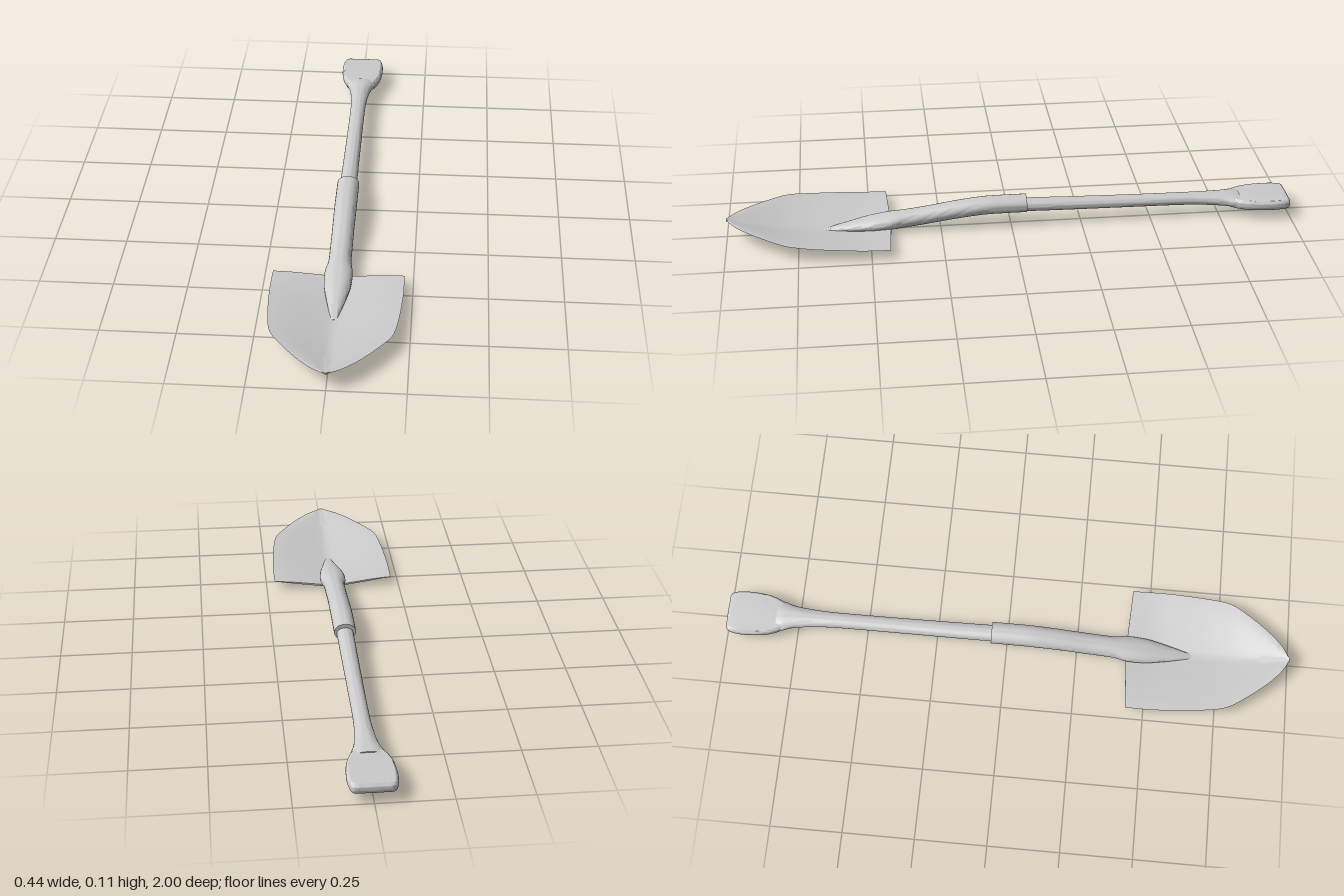
import * as THREE from 'three';
import { toCreasedNormals } from 'three/addons/utils/BufferGeometryUtils.js';

const material = new THREE.MeshStandardMaterial({ color: 0xcccccc, side: THREE.DoubleSide });

// Smoothly resample a short table of sections, column by column
function resample(table, count) {
  const columns = table[0].map((_, k) => new THREE.SplineCurve(table.map(row => new THREE.Vector2(row[k], 0))));
  return Array.from({ length: count + 1 }, (_, i) => columns.map(c => c.getPoint(i / count).x));
}

// Skin closed rings (counter-clockwise seen from +z, ordered by rising z) and cap both ends
function skin(rings, crease) {
  const m = rings[0].length, index = [];
  for (let i = 0; i < rings.length - 1; i++) {
    for (let j = 0; j < m; j++) {
      const a = i * m + j, b = i * m + (j + 1) % m;
      index.push(a, b, a + m, b, b + m, a + m);
    }
  }
  const last = (rings.length - 1) * m;
  for (let j = 0; j < m / 2 - 1; j++) {
    const [a, b, c, d] = [j, j + 1, m - 2 - j, m - 1 - j];
    index.push(a, c, b, a, d, c);
    index.push(last + a, last + b, last + c, last + a, last + c, last + d);
  }
  const geometry = new THREE.BufferGeometry();
  geometry.setAttribute('position', new THREE.Float32BufferAttribute(rings.flat(2), 3));
  geometry.setIndex(index);
  return toCreasedNormals(geometry, crease);
}

// Elliptical rod from sections [z, centre y, half width, half height]
function rod(table, count) {
  const sides = 24;
  return skin(resample(table, count).map(([z, cy, rx, ry]) =>
    Array.from({ length: sides }, (_, j) => {
      const a = (j + 0.5) / sides * Math.PI * 2;
      return [Math.cos(a) * rx, cy + Math.sin(a) * ry, z];
    })), 0.9);
}

// Dished pointed blade from sections [z, half width, spine y, rim y]
function bladeGeometry() {
  const table = [
    [0.435, 0.22, 0.007, 0.034], [0.52, 0.221, 0.001, 0.036], [0.6, 0.218, 0.0005, 0.041],
    [0.7, 0.21, 0.005, 0.047], [0.785, 0.195, 0.014, 0.054], [0.85, 0.156, 0.025, 0.058],
    [0.92, 0.102, 0.041, 0.062], [0.97, 0.052, 0.053, 0.065], [1, 0.004, 0.061, 0.067],
  ];
  const half = 24, rows = 40;
  const rings = resample(table, rows).map(([z, w, spine, rim], i) => {
    const point = (u, thickness) => {
      const e = Math.abs(u);
      return [u * w, spine + (rim - spine) * e ** 1.15 + thickness * (1 - e ** 4),
        z - 0.01 * (1 - e) * (1 - i / rows)];
    };
    const ring = [];
    for (let j = 0; j <= half; j++) ring.push(point(1 - 2 * j / half, 0.007));
    for (let j = 0; j <= half; j++) ring.push(point(2 * j / half - 1, 0));
    return ring;
  });
  return skin(rings, 0.7);
}

// Mirror the right half of an outline (x, z) into a closed smooth point list
function mirroredOutline(points) {
  const all = [...points, ...points.slice().reverse().map(([x, z]) => [-x, z])];
  const curve = new THREE.CatmullRomCurve3(all.map(([x, z]) => new THREE.Vector3(x, z, 0)), true);
  return curve.getPoints(72).slice(0, -1).map(p => new THREE.Vector2(p.x, p.y));
}

// Rounded D-shaped grip with an open middle
function gripGeometry() {
  // Shape y is -z, so that turning it flat points the grip backwards
  const shape = new THREE.Shape(mirroredOutline(
    [[0.025, 0.775], [0.05, 0.8], [0.07, 0.845], [0.079, 0.9], [0.078, 0.965], [0.067, 0.996], [0.03, 1]]));
  shape.holes.push(new THREE.Path(mirroredOutline(
    [[0.018, 0.825], [0.042, 0.84], [0.055, 0.875], [0.056, 0.92], [0.047, 0.96], [0.02, 0.967]])));
  const geometry = new THREE.ExtrudeGeometry(shape, {
    depth: 0.004, bevelThickness: 0.016, bevelSize: 0.011, bevelOffset: -0.011, bevelSegments: 6,
  });
  geometry.rotateX(-Math.PI / 2).translate(0, 0.05, 0);
  return toCreasedNormals(geometry, 1.0);
}

export function createModel() {
  const model = new THREE.Group();
  model.name = 'shovel';
  const add = (name, geometry) => {
    const mesh = new THREE.Mesh(geometry, material);
    mesh.name = name;
    model.add(mesh);
  };

  add('blade', bladeGeometry());

  // Curved socket that sinks into the blade
  add('socket', rod([
    [-0.055, 0.075, 0.039, 0.031], [0.02, 0.075, 0.039, 0.031], [0.1, 0.073, 0.039, 0.031],
    [0.2, 0.062, 0.038, 0.031], [0.3, 0.047, 0.038, 0.03], [0.38, 0.037, 0.039, 0.03],
    [0.43, 0.032, 0.047, 0.028], [0.5, 0.025, 0.044, 0.023], [0.58, 0.016, 0.028, 0.014],
    [0.66, 0.008, 0.008, 0.004],
  ], 48));

  // Shaft that widens into the neck of the grip
  add('shaft', rod([
    [-0.824, 0.053, 0.056, 0.021], [-0.8, 0.054, 0.054, 0.024], [-0.76, 0.056, 0.041, 0.024],
    [-0.69, 0.059, 0.032, 0.022], [-0.6, 0.061, 0.028, 0.021], [-0.4, 0.063, 0.028, 0.021],
    [-0.2, 0.066, 0.029, 0.022], [0, 0.07, 0.03, 0.023],
  ], 42));

  add('grip', gripGeometry());
  return model;
}
